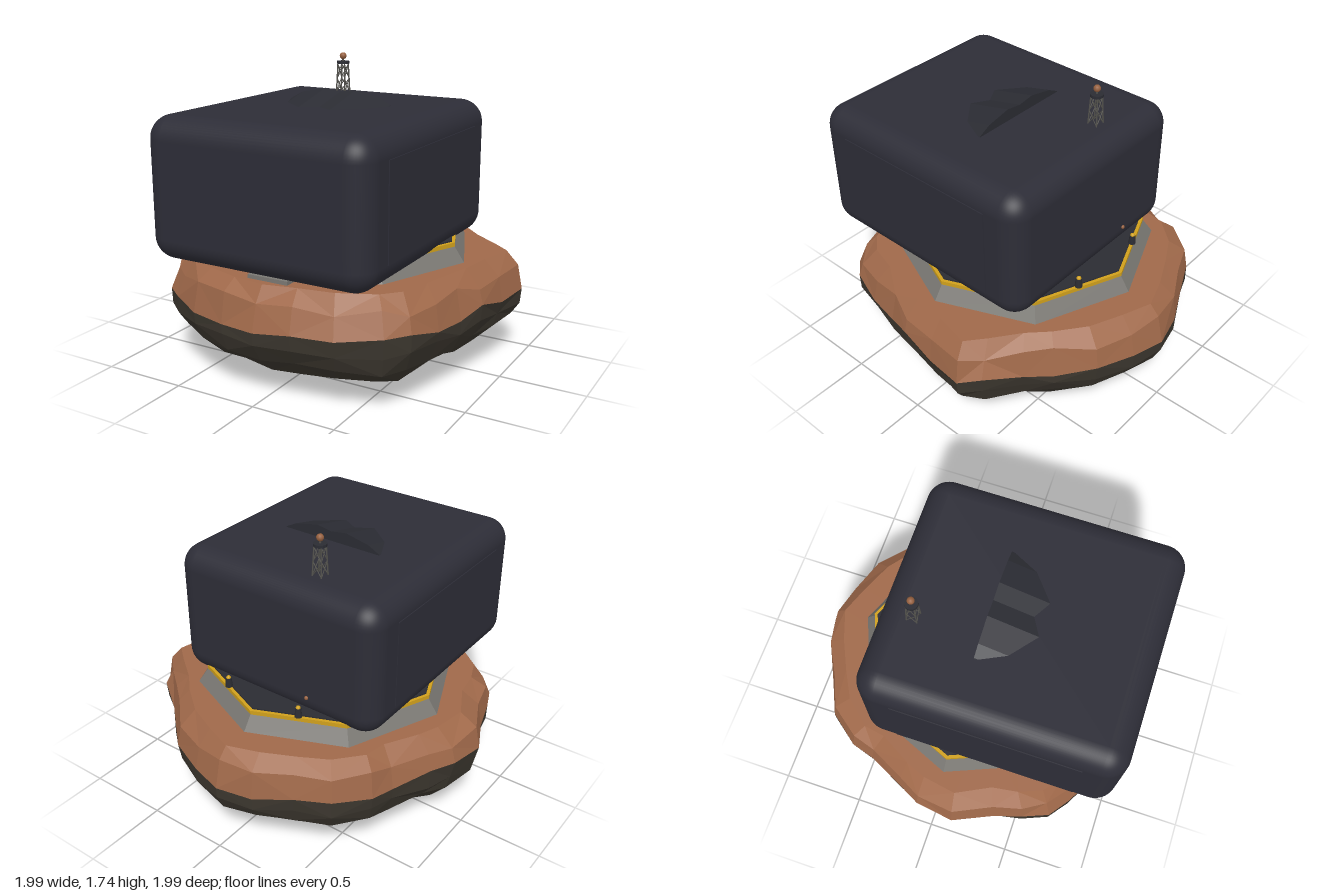
import * as THREE from 'three';
import { RoundedBoxGeometry } from 'three/addons/geometries/RoundedBoxGeometry.js';

const mat = (name, color, extra = {}) => {
  const m = new THREE.MeshStandardMaterial({ color, ...extra });
  m.name = name;
  return m;
};

export function createModel() {
  const root = new THREE.Group();
  root.name = 'rockOutpost';
  const flat = { flatShading: true };
  const clay = mat('clay', 0xa0694a, flat);
  const darkRock = mat('darkRock', 0x3b362e, flat);
  const hull = mat('hull', 0x2d2d37);
  const deckDark = mat('deckDark', 0x2b2c33, flat);
  const concrete = mat('concrete', 0x7a7873, flat);
  const yellow = mat('yellow', 0xd0a01c, flat);
  const steel = mat('steel', 0x55544f);
  const rust = mat('rust', 0x96603f);

  const add = (name, geo, material, x = 0, y = 0, z = 0, parent = root) => {
    const m = new THREE.Mesh(geo, material);
    m.name = name;
    m.position.set(x, y, z);
    parent.add(m);
    return m;
  };
  let seed = 7;
  const rnd = () => ((seed = (seed * 16807) % 2147483647) / 2147483647) * 2 - 1;

  // Rock: widest outline (x, z) swept through scaled, slightly jittered rings
  const outline = [
    [0, 0.99], [0.22, 0.97], [0.45, 0.92], [0.68, 0.81], [0.78, 0.7], [0.84, 0.5], [0.88, 0.3],
    [0.94, 0.13], [0.96, -0.1], [1, -0.34], [0.91, -0.45], [0.72, -0.58], [0.6, -0.7], [0.42, -0.86],
    [0.2, -0.95], [0, -1], [-0.21, -0.95], [-0.42, -0.85], [-0.61, -0.76], [-0.75, -0.58],
    [-0.79, -0.44], [-0.9, -0.22], [-0.97, -0.08], [-1, 0.15], [-0.89, 0.38], [-0.85, 0.55],
    [-0.78, 0.7], [-0.66, 0.79], [-0.45, 0.91], [-0.22, 0.97],
  ];
  // scale, height, radial jitter, vertical jitter
  const levels = [
    [0, 0, 0, 0], [0.4, 0, 0.03, 0], [0.65, 0.07, 0.03, 0.012], [0.82, 0.15, 0.025, 0.02],
    [0.94, 0.25, 0.02, 0.02], [0.985, 0.35, 0.012, 0.02], [0.995, 0.435, 0.005, 0.03],
    [0.96, 0.57, 0.015, 0.025], [0.88, 0.65, 0.02, 0], [0.5, 0.65, 0, 0],
  ];
  const rings = levels.map(([s, y, jr, jy]) => outline.map(([x, z]) => {
    const k = s + rnd() * jr;
    return [x * k, y + rnd() * jy, z * k];
  }));
  const loft = (list) => {
    const pos = [];
    for (let r = 0; r < list.length - 1; r++) {
      const n = list[r].length;
      for (let i = 0; i < n; i++) {
        const j = (i + 1) % n;
        const a = list[r][i], b = list[r][j], c = list[r + 1][j], d = list[r + 1][i];
        if ((i + r) % 2) pos.push(...a, ...b, ...c, ...a, ...c, ...d);
        else pos.push(...a, ...b, ...d, ...b, ...c, ...d);
      }
    }
    const g = new THREE.BufferGeometry();
    g.setAttribute('position', new THREE.Float32BufferAttribute(pos, 3));
    g.computeVertexNormals();
    return g;
  };
  add('rockUnderside', loft(rings.slice(0, 7)), darkRock);
  add('rockTop', loft(rings.slice(6)), clay);

  // Octagonal landing pad
  const oct = (rt, rb, h) => new THREE.CylinderGeometry(rt, rb, h, 8);
  add('padBase', oct(0.71, 0.78, 0.1), concrete, 0, 0.69, 0.03);
  add('padRim', oct(0.715, 0.715, 0.024), yellow, 0, 0.747, 0.03);
  add('padDeck', oct(0.695, 0.695, 0.03), deckDark, 0, 0.752, 0.03);

  // Front steps
  for (let i = 0; i < 3; i++) {
    add('step', new THREE.BoxGeometry(0.25, 0.027 * (i + 1), 0.04), concrete, 0, 0.645 + 0.0135 * (i + 1), 0.82 - i * 0.035);
  }

  // Large rounded housing with thin side panels
  add('housing', new RoundedBoxGeometry(1.36, 0.795, 1.5, 6, 0.13), hull, 0, 1.1025, 0.25);
  for (const s of [-1, 1]) {
    add('sidePanel', new THREE.BoxGeometry(0.009, 0.53, 1.06), hull, s * 0.681, 1.1, 0.25);
  }

  // Scalloped roof cowl, sloping down to the front
  const cowl = new THREE.Shape([
    [-0.34, -0.02], [-0.32, 0.006], [-0.25, 0.042], [-0.1, 0.073], [0, 0.058],
    [0.1, 0.073], [0.25, 0.042], [0.32, 0.006], [0.34, -0.02],
  ].map(([x, y]) => new THREE.Vector2(x, y)));
  const cowlGeo = new THREE.ExtrudeGeometry(cowl, { depth: 0.34, bevelEnabled: false });
  const p = cowlGeo.attributes.position;
  for (let i = 0; i < p.count; i++) p.setY(i, p.getY(i) - p.getZ(i) * 0.255);
  cowlGeo.computeVertexNormals();
  add('roofCowl', cowlGeo, deckDark, 0, 1.5, 0.072);

  // Lattice mast with a beacon
  const mast = new THREE.Group();
  mast.name = 'mast';
  mast.position.set(-0.2, 1.49, -0.305);
  root.add(mast);
  const rod = (name, a, b, r) => {
    const va = new THREE.Vector3(...a), vb = new THREE.Vector3(...b);
    const d = vb.clone().sub(va);
    const m = add(name, new THREE.CylinderGeometry(r, r, d.length(), 6), steel, 0, 0, 0, mast);
    m.position.copy(va).add(vb).multiplyScalar(0.5);
    m.quaternion.setFromUnitVectors(new THREE.Vector3(0, 1, 0), d.normalize());
  };
  const corner = (i, y) => {
    const w = 0.03 - y * 0.04, q = (i % 4) * Math.PI / 2 + Math.PI / 4;
    return [Math.SQRT2 * w * Math.cos(q), y, Math.SQRT2 * w * Math.sin(q)];
  };
  for (let i = 0; i < 4; i++) {
    rod('mastLeg', corner(i, 0), corner(i, 0.185), 0.0045);
    for (const y of [0.01, 0.095]) {
      rod('mastBrace', corner(i, y), corner(i + 1, y + 0.08), 0.0025);
      rod('mastBrace', corner(i + 1, y), corner(i, y + 0.08), 0.0025);
    }
  }
  add('mastPlatform', new THREE.CylinderGeometry(0.038, 0.038, 0.016, 12), deckDark, 0, 0.188, 0, mast);
  add('beaconStem', new THREE.CylinderGeometry(0.006, 0.006, 0.03, 6), steel, 0, 0.205, 0, mast);
  add('beacon', new THREE.SphereGeometry(0.021, 12, 8), rust, 0, 0.227, 0, mast);

  // Bollards at the rear rim, and a small marker lamp by the housing
  for (const s of [-1, 1]) {
    add('bollard', new THREE.CylinderGeometry(0.017, 0.022, 0.055, 10), deckDark, s * 0.25, 0.792, -0.575);
    add('bollardLamp', new THREE.SphereGeometry(0.014, 10, 8), yellow, s * 0.25, 0.821, -0.575);
  }
  add('markerLamp', new THREE.SphereGeometry(0.012, 10, 8), rust, -0.25, 0.845, -0.502);

  return root;
}
